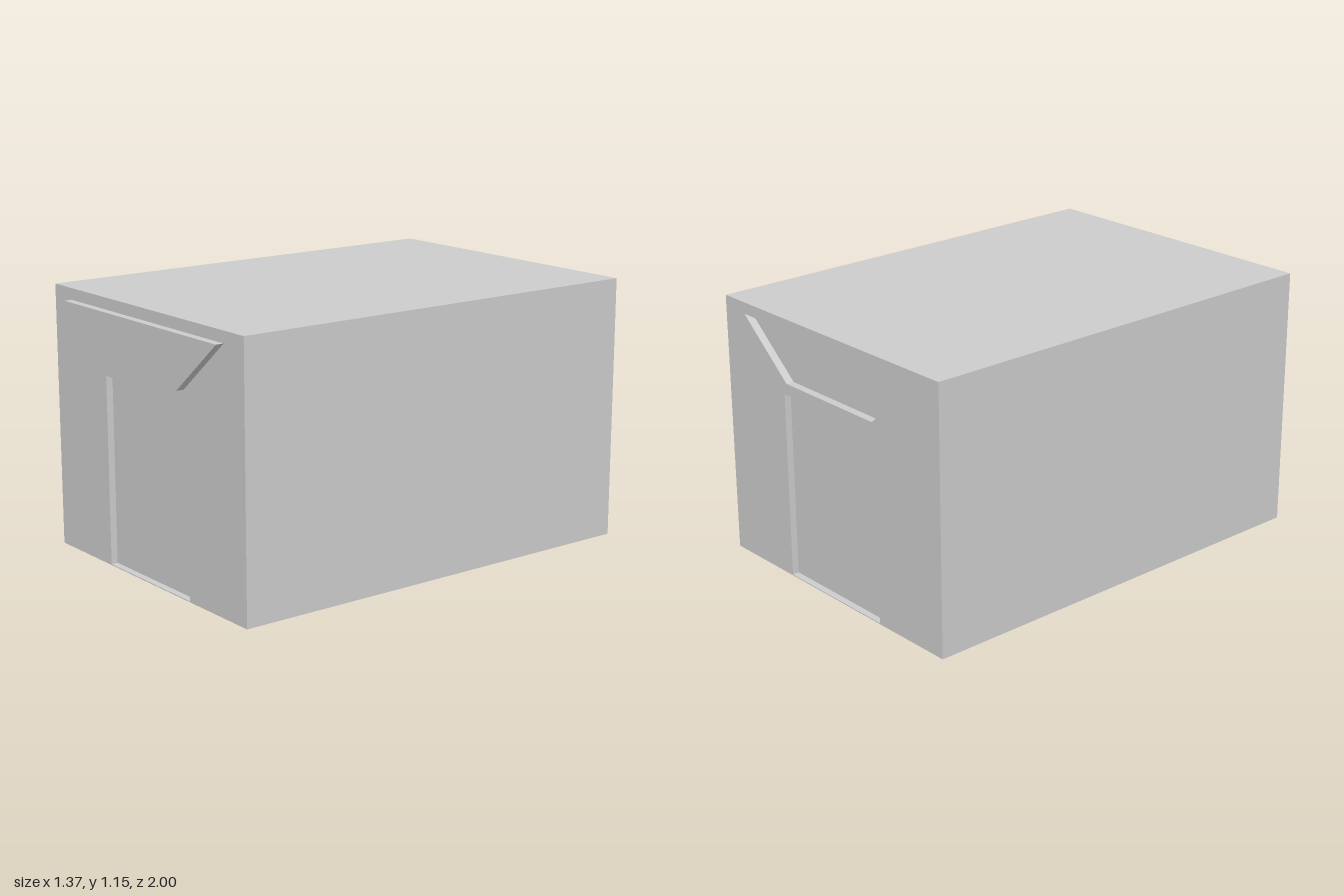
import * as THREE from 'three';

const material = new THREE.MeshStandardMaterial({ color: 0xcccccc, flatShading: true });

// Outlines run counter-clockwise seen from +z
const trapezoid = (bottomHalf, topHalf, y0, y1) => [
  [-bottomHalf, y0], [bottomHalf, y0], [topHalf, y1], [-topHalf, y1],
].map(([x, y]) => new THREE.Vector2(x, y));

const BODY = trapezoid(0.687, 0.687, 0, 1.15);
const DOOR = trapezoid(0.296, 0.296, 0.004, 0.82);
const SIGN = trapezoid(0.279, 0.556, 0.87, 1.10);
const FRONT_Z = 0.965, BACK_Z = -1;

function addMesh(parent, name, geometry) {
  const mesh = new THREE.Mesh(geometry, material);
  mesh.name = name;
  parent.add(mesh);
  return mesh;
}

// Walls along an outline: facing outward if z1 > z0, inward if z1 < z0
function walls(outline, z0, z1) {
  const positions = [];
  outline.forEach((a, i) => {
    const b = outline[(i + 1) % outline.length];
    positions.push(a.x, a.y, z0, b.x, b.y, z0, b.x, b.y, z1);
    positions.push(a.x, a.y, z0, b.x, b.y, z1, a.x, a.y, z1);
  });
  const geometry = new THREE.BufferGeometry();
  geometry.setAttribute('position', new THREE.Float32BufferAttribute(positions, 3));
  geometry.computeVertexNormals();
  return geometry;
}

// End wall facing +z, with features raised (depth > 0) or recessed (depth < 0)
function endWall(name, features) {
  const group = new THREE.Group();
  group.name = name;
  const face = new THREE.Shape(BODY);
  for (const { part, outline, depth } of features) {
    face.holes.push(new THREE.Path([...outline].reverse()));
    addMesh(group, part + 'Edge', walls(outline, 0, depth));
    addMesh(group, part + 'Panel', new THREE.ShapeGeometry(new THREE.Shape(outline)))
      .position.z = depth;
  }
  addMesh(group, name + 'Face', new THREE.ShapeGeometry(face));
  return group;
}

export function createModel() {
  const model = new THREE.Group();
  model.name = 'building';

  // Roof, floor and side walls
  addMesh(model, 'shell', walls(BODY, BACK_Z, FRONT_Z));

  // Front: recessed door below a raised sign board
  const front = endWall('frontWall', [
    { part: 'frontDoor', outline: DOOR, depth: -0.03 },
    { part: 'signBoard', outline: SIGN, depth: 0.035 },
  ]);
  front.position.z = FRONT_Z;

  // Back: recessed door below a sunken niche of the same shape as the sign
  const back = endWall('backWall', [
    { part: 'backDoor', outline: DOOR, depth: -0.03 },
    { part: 'niche', outline: SIGN, depth: -0.035 },
  ]);
  back.position.z = BACK_Z;
  back.rotation.y = Math.PI;

  model.add(front, back);
  return model;
}
